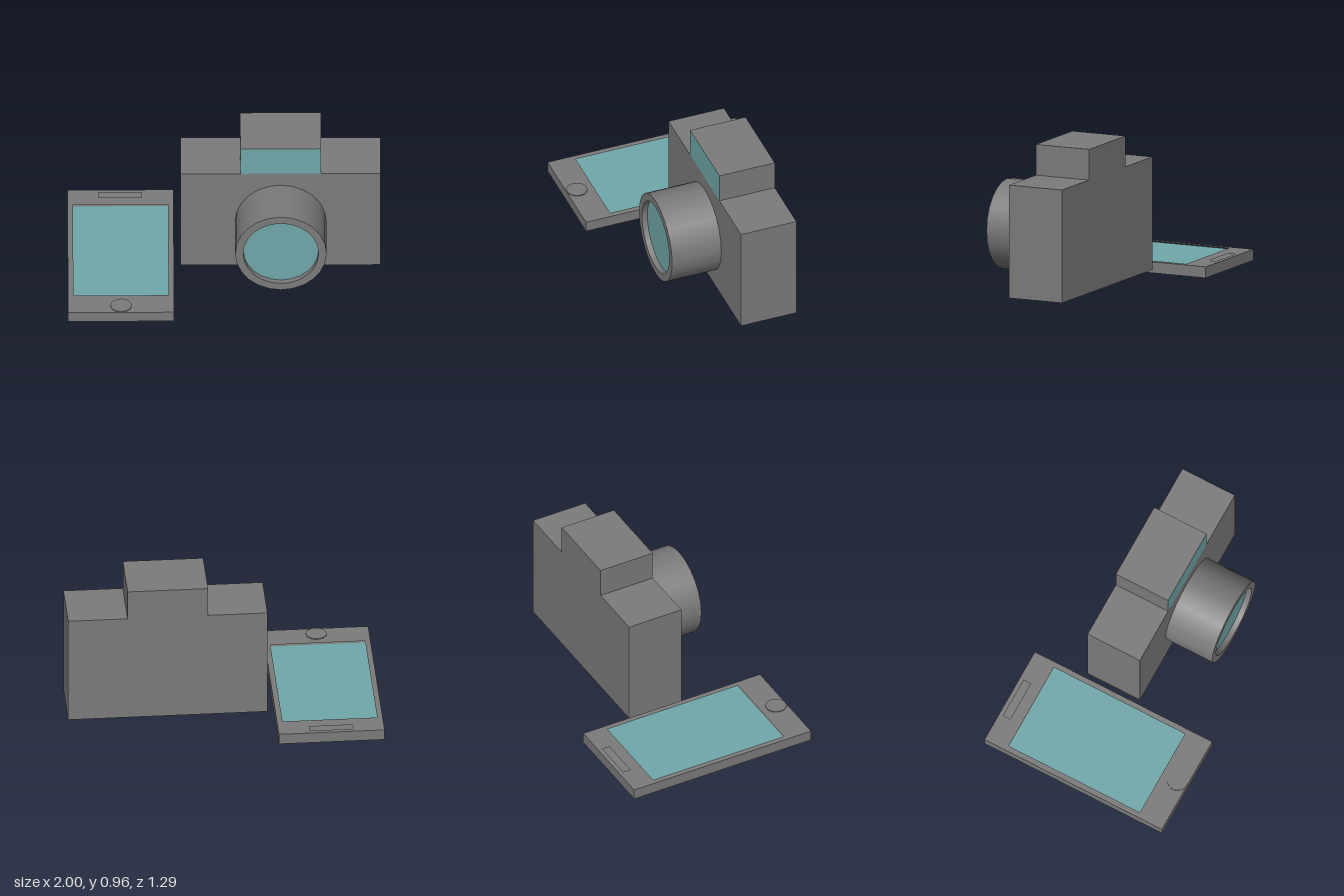
import * as THREE from 'three';

const grey = new THREE.MeshStandardMaterial({ color: 0x7b7b7b });
const teal = new THREE.MeshStandardMaterial({ color: 0x71a8aa });

function add(group, name, geometry, material, x = 0, y = 0, z = 0) {
  const mesh = new THREE.Mesh(geometry, material);
  mesh.name = name;
  mesh.position.set(x, y, z);
  group.add(mesh);
  return mesh;
}

// Box given by its limits; tealSides lists coloured faces (0..5 = +x -x +y -y +z -z)
function addBox(group, name, [x0, x1], [y0, y1], [z0, z1], tealSides = []) {
  const materials = [0, 1, 2, 3, 4, 5].map((i) => (tealSides.includes(i) ? teal : grey));
  return add(group, name, new THREE.BoxGeometry(x1 - x0, y1 - y0, z1 - z0), materials,
    (x0 + x1) / 2, (y0 + y1) / 2, (z0 + z1) / 2);
}

// Rectangle in plan, drawn with shape y = -z
function rectangle(Type, x0, x1, z0, z1) {
  return new Type([[x0, -z0], [x1, -z0], [x1, -z1], [x0, -z1]].map(([x, y]) => new THREE.Vector2(x, y)));
}

function createPhone() {
  const phone = new THREE.Group();
  phone.name = 'phone';
  const x = [-1, -0.322], floor = 0.06, top = 0.072;

  // Lower slab: grey ends and a coloured middle that forms the screen
  addBox(phone, 'rearBase', x, [0, floor], [-0.644, -0.487]);
  addBox(phone, 'screenPanel', x, [0, floor], [-0.487, 0.465], [2, 3]);
  addBox(phone, 'frontBase', x, [0, floor], [0.465, 0.644]);

  // Raised bezel with openings for the screen and the speaker slot
  const bezel = rectangle(THREE.Shape, x[0], x[1], -0.644, 0.644);
  bezel.holes.push(
    rectangle(THREE.Path, -0.965, -0.358, -0.487, 0.465),
    rectangle(THREE.Path, -0.8, -0.525, -0.615, -0.565),
  );
  const geometry = new THREE.ExtrudeGeometry(bezel, { depth: top - floor, bevelEnabled: false });
  geometry.rotateX(-Math.PI / 2);
  add(phone, 'bezel', geometry, grey, 0, floor, 0);

  // Round home button
  add(phone, 'homeButton', new THREE.CylinderGeometry(0.067, 0.067, 0.02, 24), grey, -0.661, 0.068, 0.575);
  return phone;
}

function createCamera() {
  const camera = new THREE.Group();
  camera.name = 'camera';
  const z = [-0.285, 0.095];
  addBox(camera, 'cameraBody', [-0.278, 1], [0.03, 0.765], z);
  addBox(camera, 'viewfinderHump', [0.103, 0.619], [0.765, 0.965], z, [4]);

  // Lens barrel: outer wall, flat rim and recessed inner wall as separate hard-edged strips
  const lens = new THREE.Group();
  lens.name = 'lens';
  lens.position.set(0.361, 0.38, 0.095);
  const strips = {
    lensBarrel: [[0.292, 0], [0.292, 0.337]],
    lensRim: [[0.292, 0.337], [0.241, 0.337]],
    lensInnerWall: [[0.241, 0.337], [0.241, 0.3]],
  };
  for (const [name, points] of Object.entries(strips)) {
    const geometry = new THREE.LatheGeometry(points.map(([r, h]) => new THREE.Vector2(r, h)), 24);
    add(lens, name, geometry.rotateX(Math.PI / 2), grey);
  }
  add(lens, 'lensGlass', new THREE.CircleGeometry(0.241, 24), teal, 0, 0, 0.3);
  camera.add(lens);
  return camera;
}

export function createModel() {
  const model = new THREE.Group();
  model.name = 'cameraAndPhone';
  model.add(createPhone(), createCamera());
  return model;
}
